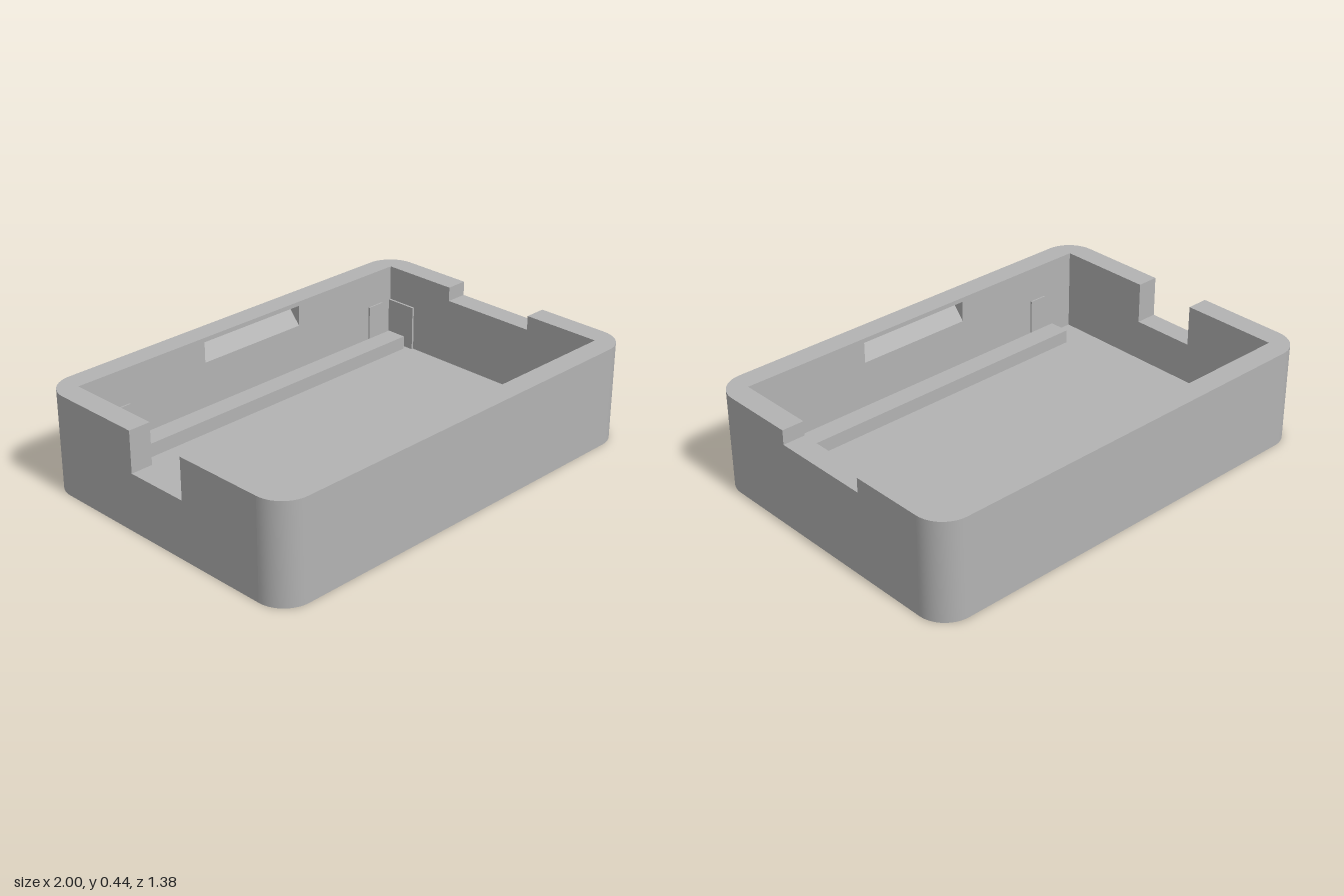
import * as THREE from 'three';
import { toCreasedNormals } from 'three/addons/utils/BufferGeometryUtils.js';

const H = 0.445, FLOOR = 0.075;          // rim height, floor thickness
const OX = 1, OZ = 0.69, R = 0.13;       // outer half sizes and corner radius
const IX = 0.9, IZ = 0.59;               // cavity half sizes
const CX = OX - R, CZ = OZ - R;          // corner arc centre

export function createModel() {
  const model = new THREE.Group();
  model.name = 'enclosureTray';
  const plastic = new THREE.MeshStandardMaterial({ color: 0xb3b3b3 });
  plastic.name = 'greyPlastic';

  const add = (name, geometry) => {
    const mesh = new THREE.Mesh(geometry, plastic);
    mesh.name = name;
    model.add(mesh);
  };
  const shapeOf = (points) => new THREE.Shape(points.map(([a, b]) => new THREE.Vector2(a, b)));

  // Box given by its limits on each axis
  const block = (name, x0, x1, y0, y1, z0, z1) => {
    const g = new THREE.BoxGeometry(x1 - x0, y1 - y0, Math.abs(z1 - z0));
    add(name, g.translate((x0 + x1) / 2, (y0 + y1) / 2, (z0 + z1) / 2));
  };
  // Profile of [z, y] points swept along x
  const sweepX = (name, points, x0, x1) => {
    const shape = shapeOf(points.map(([z, y]) => [-z, y]));
    const g = new THREE.ExtrudeGeometry(shape, { depth: x1 - x0, bevelEnabled: false });
    add(name, g.rotateY(Math.PI / 2).translate(x0, 0, 0));
  };

  // Floor inside the walls
  block('floor', -IX, IX, 0, FLOOR, -IZ, IZ);

  // End walls, each with a cable notch in the rim
  const endWall = (name, x0, x1, halfWidth, sill) => sweepX(name, [
    [-CZ, 0], [CZ, 0], [CZ, H], [halfWidth, H], [halfWidth, sill],
    [-halfWidth, sill], [-halfWidth, H], [-CZ, H],
  ], x0, x1);
  endWall('leftEndWall', IX, OX, 0.227, 0.38);
  endWall('rightEndWall', -OX, -IX, 0.147, 0.26);

  for (const s of [1, -1]) {
    const side = s > 0 ? 'front' : 'back';

    // Long wall, with a sloped latch pocket in its inner face
    const plain = [[s * IZ, 0], [s * OZ, 0], [s * OZ, H], [s * IZ, H]];
    const pocket = [[s * IZ, 0.425], [s * 0.67, 0.425], [s * IZ, 0.33]];
    sweepX(side + 'Wall', plain, -CX, -0.24);
    sweepX(side + 'WallLatchPocket', [...plain, ...pocket], -0.24, 0.31);
    sweepX(side + 'Wall', plain, 0.31, CX);

    // Rounded outer corners, square on the inside
    for (const t of [1, -1]) {
      const points = [[IX, CZ], [IX, IZ], [CX, IZ]];
      for (let i = 0; i <= 16; i++) {
        const a = Math.PI / 2 * (1 - i / 16);
        points.push([CX + R * Math.cos(a), CZ + R * Math.sin(a)]);
      }
      const shape = shapeOf(points.map(([x, z]) => [t * x, -s * z]));
      const g = new THREE.ExtrudeGeometry(shape, { depth: H, bevelEnabled: false });
      add(side + 'Corner', toCreasedNormals(g.rotateX(-Math.PI / 2), 0.5));
    }

    // Support rail on the floor
    block(side + 'Rail', -0.77, 0.87, FLOOR, 0.137, s * 0.472, s * 0.568);

    // Thin locating ribs on the long wall and in the left corner
    for (const x of [-0.695, 0.797])
      block(side + 'Rib', x - 0.042, x + 0.042, FLOOR, 0.283, s * (IZ - 0.007), s * IZ);
    block(side + 'EndRib', IX - 0.01, IX, FLOOR, 0.283, s * 0.44, s * IZ);
  }
  return model;
}
